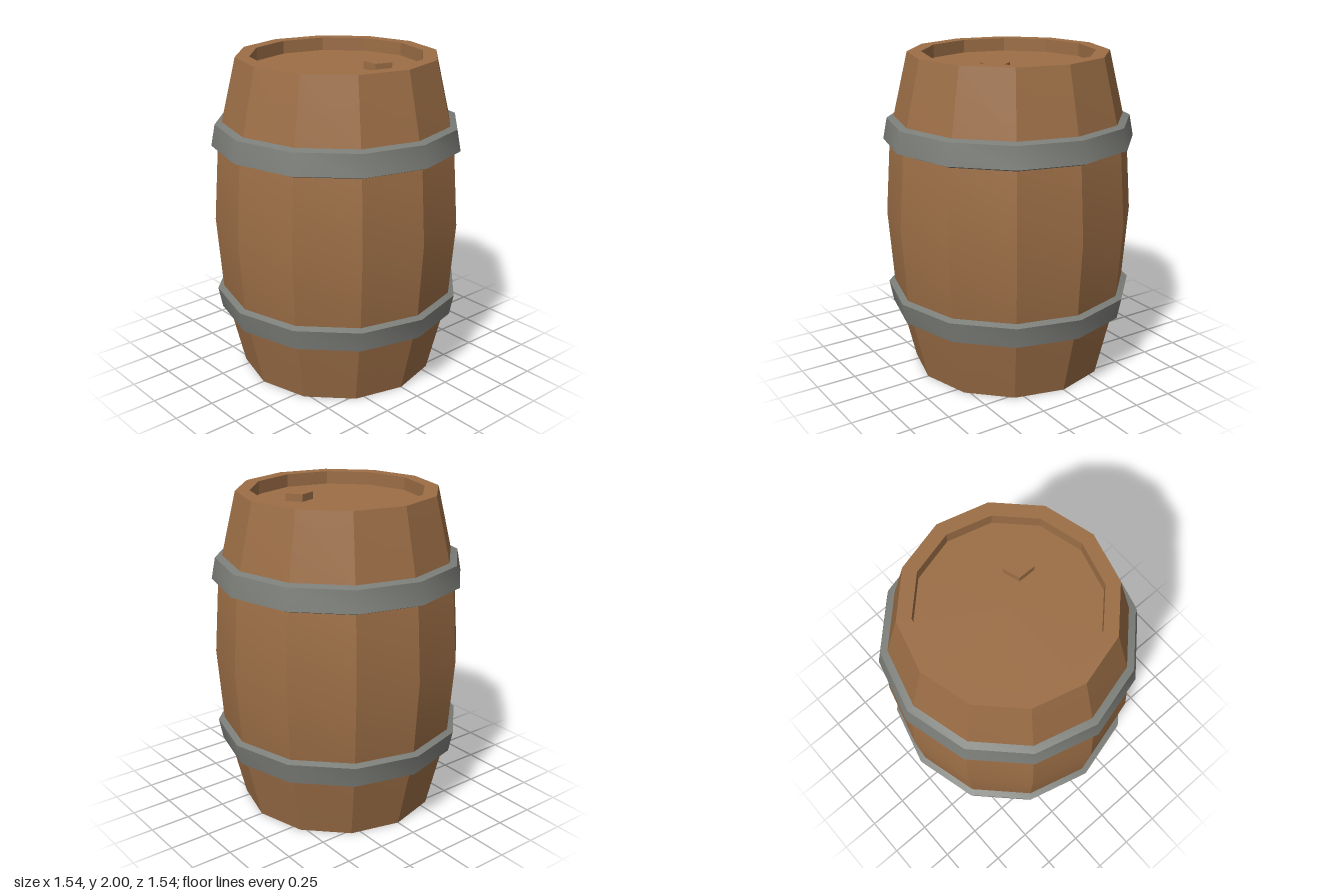
import * as THREE from 'three';
import { toCreasedNormals } from 'three/addons/utils/BufferGeometryUtils.js';

const SIDES = 12;

// Twelve-sided turned part; profile is [radius, height] pairs running upward on the outside
function turned(name, profile, material, creaseDegrees) {
  const points = profile.map(([r, y]) => new THREE.Vector2(r, y));
  const geometry = toCreasedNormals(
    new THREE.LatheGeometry(points, SIDES),
    THREE.MathUtils.degToRad(creaseDegrees)
  );
  const mesh = new THREE.Mesh(geometry, material);
  mesh.name = name;
  return mesh;
}

export function createModel() {
  const wood = new THREE.MeshStandardMaterial({ color: 0x9c6e46 });
  wood.name = 'wood';
  const iron = new THREE.MeshStandardMaterial({ color: 0x7c7e79 });
  iron.name = 'iron';

  const barrel = new THREE.Group();
  barrel.name = 'barrel';

  // Staves, rims and both recessed heads: half a profile mirrored about y = 1
  const lowerHalf = [[0, 0.08], [0.525, 0.08], [0.525, 0], [0.61, 0], [0.705, 0.4], [0.732, 0.54]];
  const mirrored = (profile) => profile.map(([r, y]) => [r, 2 - y]).reverse();
  barrel.add(turned('body', [...lowerHalf, [0.765, 1], ...mirrored(lowerHalf)], wood, 25));

  // Bevelled hoops following the taper of the body
  const hoop = [[0.69, 0.383], [0.745, 0.4], [0.77, 0.53], [0.72, 0.55]];
  barrel.add(turned('lowerHoop', hoop, iron, 35));
  barrel.add(turned('upperHoop', mirrored(hoop), iron, 35));

  // Five-sided bung on the top head
  const bungGeometry = toCreasedNormals(
    new THREE.CylinderGeometry(0.091, 0.091, 0.06, 5, 1, false, Math.PI), 0.5
  );
  const bung = new THREE.Mesh(bungGeometry, wood);
  bung.name = 'bung';
  bung.position.set(0.197, 1.935, -0.153);
  barrel.add(bung);

  return barrel;
}
